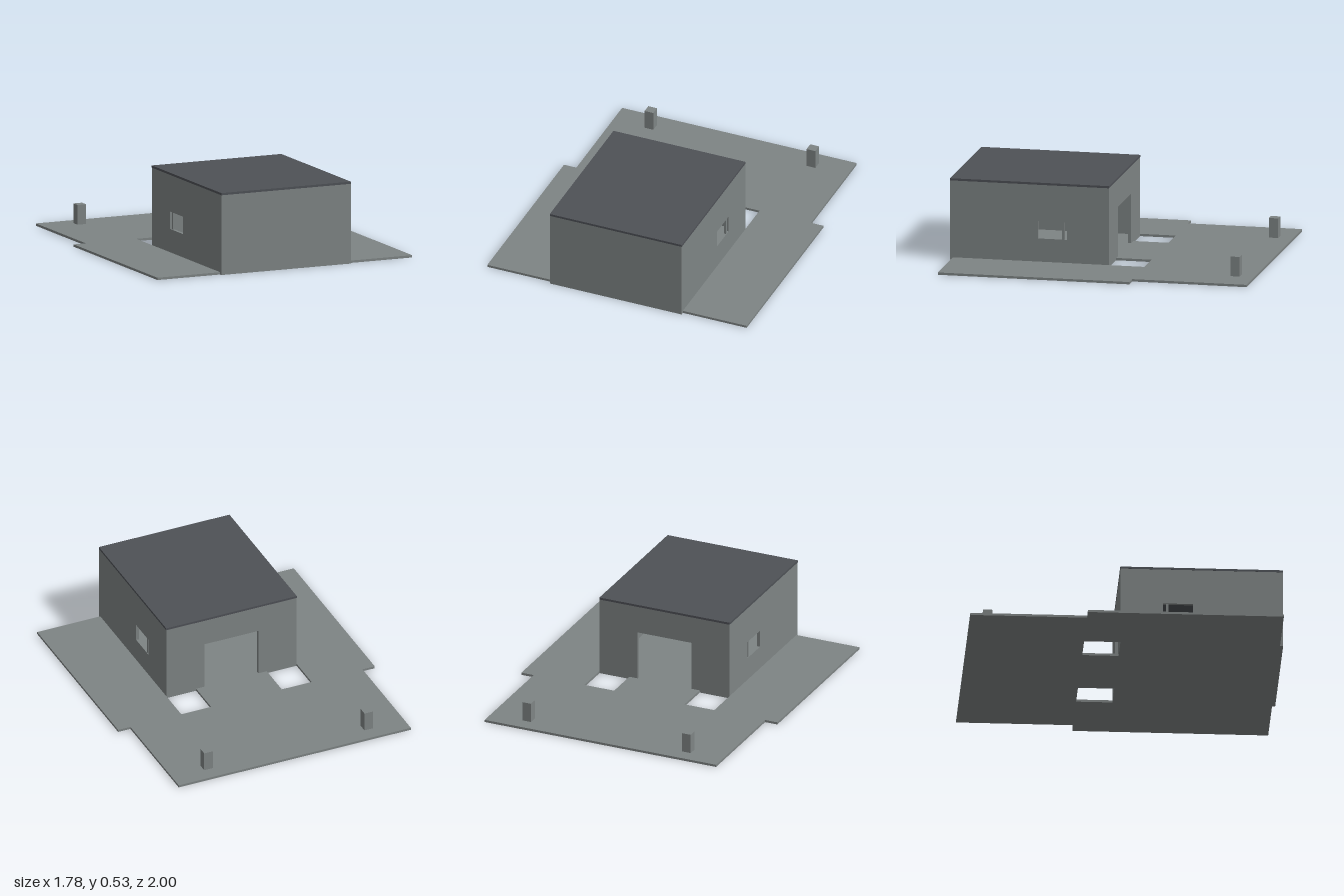
import * as THREE from 'three';

const concrete = new THREE.MeshStandardMaterial({ color: 0x7e8484 });
concrete.name = 'concrete grey';
const roofing = new THREE.MeshStandardMaterial({ color: 0x4e5156 });
roofing.name = 'roof dark grey';

const SLAB = 0.015, EAVE = 0.513, RIDGE = 0.527;
const HALF = 0.452, BACK = -0.03, FRONT = 1, WALL = 0.02;

const points = (list) => list.map(([x, y]) => new THREE.Vector2(x, y));
const rect = (a, b, c, d) => points([[a, c], [b, c], [b, d], [a, d]]);

function panel(outline, holes, depth) {
  const shape = new THREE.Shape(outline);
  holes.forEach((h) => shape.holes.push(new THREE.Path(h)));
  return new THREE.ExtrudeGeometry(shape, { depth, bevelEnabled: false });
}

export function createModel() {
  const group = new THREE.Group();
  const add = (name, geometry, material = concrete) => {
    const mesh = new THREE.Mesh(geometry, material);
    mesh.name = name;
    group.add(mesh);
    return mesh;
  };
  const box = (name, x0, x1, y0, y1, z0, z1, material) =>
    add(name, new THREE.BoxGeometry(x1 - x0, y1 - y0, z1 - z0), material)
      .position.set((x0 + x1) / 2, (y0 + y1) / 2, (z0 + z1) / 2);

  // Ground slab with two planting openings beside the entrance
  const outline = points([[-0.89, -0.98], [0.89, -0.98], [0.89, 0.26], [0.805, 0.26],
    [0.805, 1], [-0.805, 1], [-0.805, 0.26], [-0.89, 0.26]]);
  const openings = [rect(0.245, HALF, 0.03, 0.26), rect(-HALF, -0.245, 0.03, 0.26)];
  add('groundSlab', panel(outline, openings, SLAB).rotateX(-Math.PI / 2));

  // Solid front wall, and back wall with a doorway
  box('frontWall', -HALF, HALF, 0, EAVE, FRONT - WALL, FRONT);
  add('backWall', panel(points([[-HALF, 0], [-0.187, 0], [-0.187, 0.335], [0.187, 0.335],
    [0.187, 0], [HALF, 0], [HALF, EAVE], [-HALF, EAVE]]), [], WALL)).position.z = BACK;

  for (const side of [-1, 1]) {
    const label = side > 0 ? 'left' : 'right';
    // Side wall with a window opening and a slim upright in it
    const wall = panel(rect(-FRONT + WALL, -BACK - WALL, 0, EAVE), [rect(-0.43, -0.24, 0.165, 0.277)], WALL);
    const mesh = add(label + 'Wall', wall.rotateY(Math.PI / 2));
    mesh.position.x = side > 0 ? HALF - WALL : -HALF;
    const x = side * (HALF - WALL / 2);
    box(label + 'WindowUpright', x - 0.006, x + 0.006, 0.165, 0.277, 0.258, 0.274);
    // Gate post
    box(label + 'GatePost', side * 0.556 - 0.03, side * 0.556 + 0.03, SLAB, 0.142, -0.907, -0.847);
  }

  // Flat roof
  box('roof', -HALF - 0.001, HALF + 0.001, EAVE, RIDGE, BACK - 0.001, FRONT, roofing);
  return group;
}
